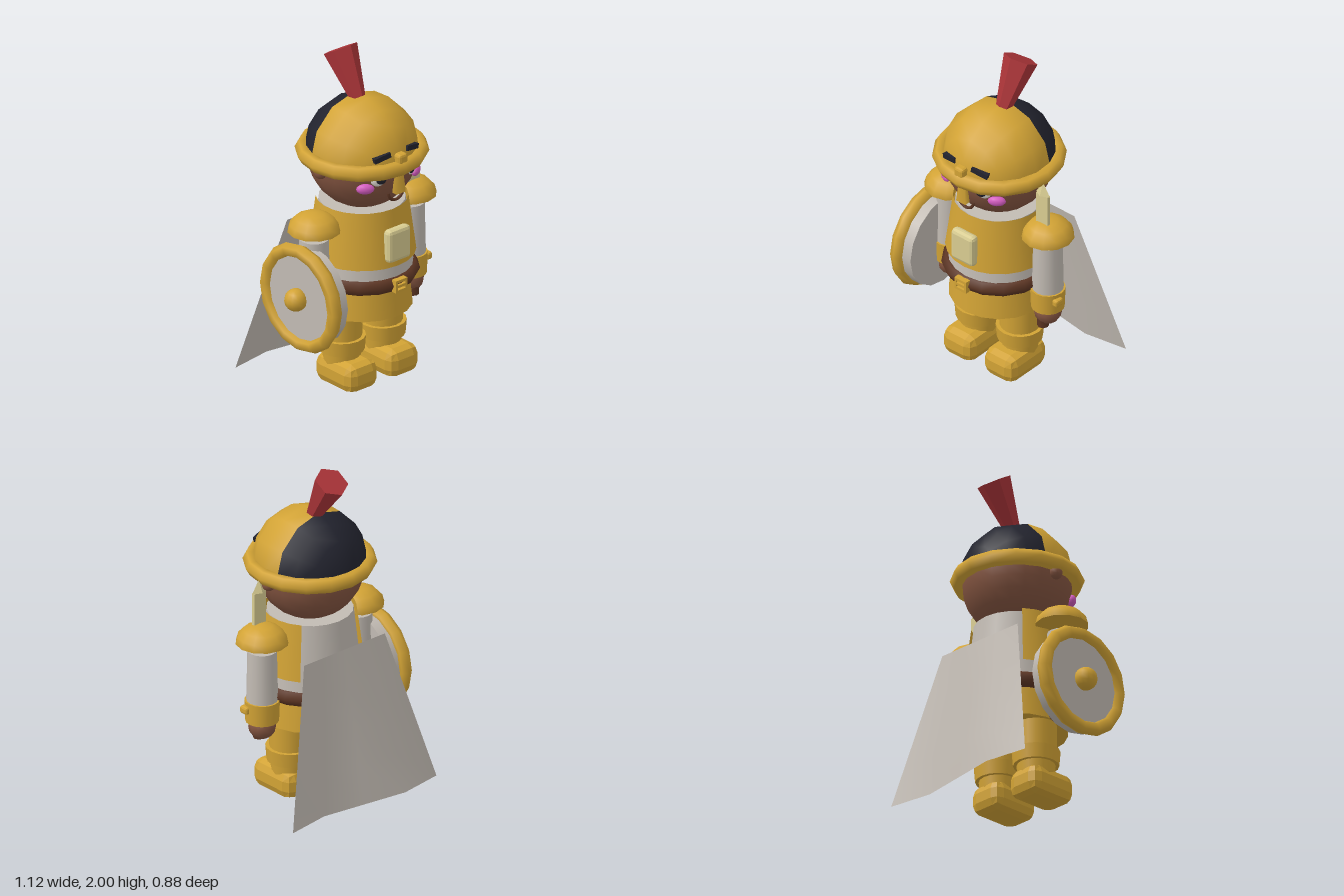
import * as THREE from 'three';
import { RoundedBoxGeometry } from 'three/addons/geometries/RoundedBoxGeometry.js';

const mat = (name, color, side = THREE.FrontSide) => {
  const m = new THREE.MeshStandardMaterial({ color, side });
  m.name = name;
  return m;
};

export function createModel() {
  const gold = mat('gold', 0xd2a335, THREE.DoubleSide);
  const cloth = mat('cloth', 0xc2bbb3, THREE.DoubleSide);
  const skin = mat('skin', 0x835440);
  const leather = mat('leather', 0x5c3523);
  const red = mat('red', 0xaa3438);
  const cream = mat('cream', 0xd9cd92);
  const dark = mat('dark', 0x22232e);
  const pink = mat('pink', 0xd45cc0);
  const white = mat('white', 0xe6e2d8);

  const model = new THREE.Group();
  model.name = 'warrior';
  // the body stands a little off the origin; the shield and cape balance it
  const body = new THREE.Group();
  body.name = 'body';
  body.position.set(0.022, 0, 0.06);
  model.add(body);

  const add = (name, geo, material, x, y, z, parent = body) => {
    const m = new THREE.Mesh(geo, material);
    m.name = name;
    m.position.set(x, y, z);
    parent.add(m);
    return m;
  };
  const cyl = (rt, rb, h, n = 16) => new THREE.CylinderGeometry(rt, rb, h, n);
  const ball = (r, w = 12, h = 8) => new THREE.SphereGeometry(r, w, h);
  const box = (w, h, d) => new THREE.BoxGeometry(w, h, d);
  const chamferBox = (w, h, d, r) => {
    const g = new RoundedBoxGeometry(w, h, d, 1, r);
    g.computeVertexNormals(); // flat facets
    return g;
  };
  const ring = (r, tube, n = 16) => new THREE.TorusGeometry(r, tube, 6, n);

  // Head and face
  add('head', ball(0.31, 20, 14), skin, 0, 1.37, 0);
  for (const s of [-1, 1]) {
    add('ear', ball(0.04), skin, s * 0.308, 1.345, 0);
    const eye = add('eye', ball(0.045), white, s * 0.122, 1.34, 0.272);
    eye.scale.z = 0.5;
    eye.rotation.y = s * 0.4;
    const pupil = add('pupil', ball(0.035), dark, s * 0.115, 1.345, 0.29);
    pupil.scale.z = 0.4;
    pupil.rotation.y = s * 0.4;
    const cheek = add('cheek', ball(0.052), pink, s * 0.188, 1.287, 0.24);
    cheek.scale.set(1, 0.6, 0.5);
    cheek.rotation.y = s * 0.6;
    const brow = add('eyebrow', box(0.105, 0.03, 0.05), dark, s * 0.107, 1.475, 0.28);
    brow.rotation.set(0, s * 0.2, -s * 0.2);
  }
  add('mouth', new THREE.TorusGeometry(0.055, 0.009, 6, 10, Math.PI), leather, 0, 1.235, 0.285).rotation.z = Math.PI;

  // Helmet: a dome with its pole at the back, split into gold front and dark rear
  const dome = (start, length, rows) =>
    new THREE.SphereGeometry(0.324, 6, rows, 0, Math.PI, start, length).rotateX(-Math.PI / 2);
  const split = 1.34;
  add('helmetFront', dome(split, Math.PI - split, 5), gold, 0, 1.4, 0);
  add('helmetBack', dome(0, split, 4), dark, 0, 1.4, 0);
  add('helmetBrim', ring(0.332, 0.046), gold, 0, 1.395, 0).rotation.x = Math.PI / 2;
  add('helmetStud', chamferBox(0.065, 0.065, 0.06, 0.015), gold, 0, 1.45, 0.325);
  const guard = cyl(0.028, 0.048, 0.15, 4).rotateY(Math.PI / 4);
  add('noseGuard', guard, gold, 0, 1.31, 0.312).scale.z = 0.55;
  const plume = cyl(0.1, 0.04, 0.32, 6).toNonIndexed();
  plume.computeVertexNormals();
  add('plume', plume, red, 0, 1.811, -0.102).rotation.x = -Math.PI / 6;

  // Torso
  add('tunic', cyl(0.245, 0.293, 0.44, 20), cloth, 0, 0.88, 0);
  const open = THREE.MathUtils.degToRad(128);
  add('breastplate', new THREE.CylinderGeometry(0.26, 0.304, 0.335, 16, 1, true, -open, 2 * open), gold, 0, 0.943, 0);
  add('chestBadge', chamferBox(0.165, 0.2, 0.06, 0.022), cream, 0, 0.912, 0.297);
  add('belt', ring(0.28, 0.046), leather, 0, 0.662, 0).rotation.x = Math.PI / 2;
  for (const y of [0.632, 0.662, 0.692])
    add('buckleBar', box(0.085, 0.016, 0.035), gold, 0, y, 0.318);
  for (const s of [-1, 1])
    add('buckleSide', box(0.014, 0.075, 0.035), gold, s * 0.036, 0.662, 0.318);
  add('skirt', cyl(0.265, 0.286, 0.2, 18), gold, 0, 0.55, 0);

  // Limbs, mirrored
  for (const s of [-1, 1]) {
    const leg = new THREE.Group();
    leg.name = s > 0 ? 'leftLeg' : 'rightLeg';
    leg.position.x = s * 0.152;
    body.add(leg);
    add('thigh', cyl(0.118, 0.115, 0.22), gold, 0, 0.37, 0, leg);
    add('kneeBand', cyl(0.137, 0.13, 0.085), gold, 0, 0.247, 0, leg);
    add('shin', cyl(0.112, 0.105, 0.1), gold, 0, 0.185, 0, leg);
    add('shoe', chamferBox(0.225, 0.17, 0.32, 0.055), gold, 0, 0.085, 0.042, leg);

    const arm = new THREE.Group();
    arm.name = s > 0 ? 'leftArm' : 'rightArm';
    arm.position.x = s * 0.358;
    body.add(arm);
    const pad = new THREE.SphereGeometry(0.152, 12, 4, 0, Math.PI * 2, 0, Math.PI / 2);
    add('shoulderPad', pad, gold, 0, 1, 0, arm).scale.y = 0.73;
    add('shoulderPadBase', new THREE.CircleGeometry(0.152, 12).rotateX(Math.PI / 2), gold, 0, 1, 0, arm);
    add('sleeve', cyl(0.083, 0.09, 0.33), cloth, 0, 0.785, 0, arm);
    add('cuff', cyl(0.1, 0.095, 0.13), gold, 0, 0.577, 0, arm);
    add('cuffStud', chamferBox(0.04, 0.045, 0.06, 0.012), gold, s * 0.098, 0.597, 0.03, arm);
    add('hand', ball(0.08), skin, 0, 0.48, 0, arm);
  }

  // Sword in the left hand
  const sword = new THREE.Group();
  sword.name = 'sword';
  sword.position.set(0.374, 0, 0.093);
  model.add(sword);
  add('swordGrip', cyl(0.034, 0.034, 0.14, 8), leather, 0, 0.46, 0, sword);
  add('blade', box(0.085, 0.8, 0.022), cream, 0, 0.9, 0, sword);
  const tip = new THREE.ConeGeometry(0.05, 0.08, 4).toNonIndexed();
  tip.computeVertexNormals();
  add('bladeTip', tip, cream, 0, 1.34, 0, sword).scale.z = 0.6;

  // Round shield on the right arm, facing outward
  const shield = new THREE.Group();
  shield.name = 'shield';
  shield.position.set(-0.46, 0.63, 0.09);
  model.add(shield);
  add('shieldRim', ring(0.284, 0.042), gold, 0, 0, 0, shield).rotation.y = Math.PI / 2;
  add('shieldDisc', cyl(0.286, 0.286, 0.11), cloth, 0.043, 0, 0, shield).rotation.z = Math.PI / 2;
  add('shieldBoss', ball(0.067), gold, -0.038, 0, 0, shield);

  // Cape: flares and ripples towards the hem
  const cape = new THREE.PlaneGeometry(1, 1, 4, 4);
  const p = cape.attributes.position;
  for (let i = 0; i < p.count; i++) {
    const u = p.getX(i), v = 0.5 - p.getY(i);
    p.setXYZ(i, 0.022 + u * (0.605 + 0.47 * v), 0.94 - 0.905 * v,
      -0.23 - 0.17 * v + 0.04 * v * Math.sin(2 * Math.PI * u));
  }
  cape.computeVertexNormals();
  add('cape', cape, cloth, 0, 0, 0, model);

  return model;
}
